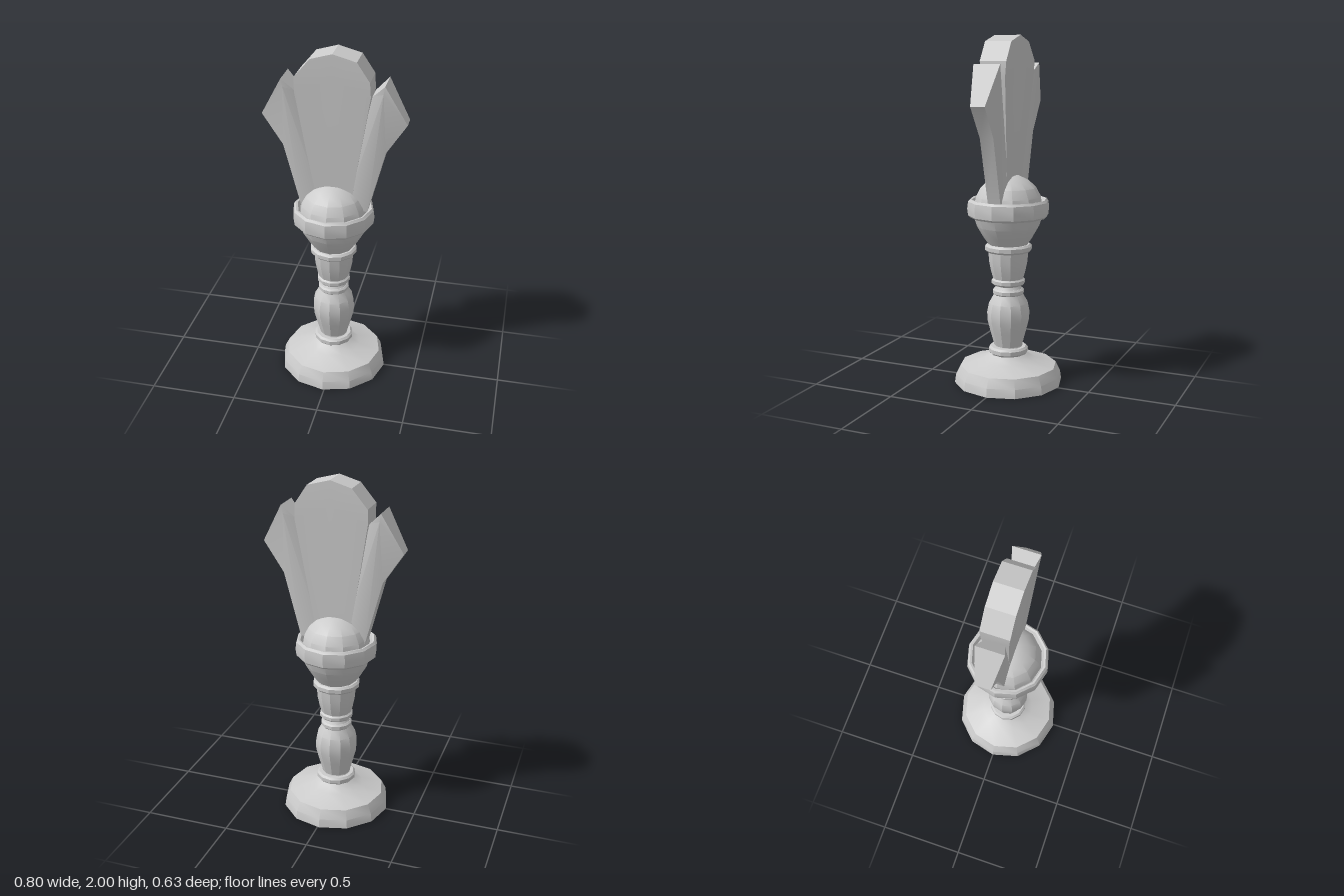
import * as THREE from 'three';
import { toCreasedNormals } from 'three/addons/utils/BufferGeometryUtils.js';

const grey = new THREE.MeshStandardMaterial({ color: 0xcccccc, side: THREE.DoubleSide });
const CREASE = 0.5;

// Twelve-sided turned part from [radius, y] pairs, bottom to top
function turned(name, profile) {
  const geo = new THREE.LatheGeometry(profile.map(([r, y]) => new THREE.Vector2(r, y)), 12);
  const mesh = new THREE.Mesh(toCreasedNormals(geo, CREASE), grey);
  mesh.name = name;
  mesh.position.x = -0.01;
  return mesh;
}

// Flat plume: front and back fans around a hub, joined by edge walls.
// Each point is [x, y, half thickness]; the outline runs counter-clockwise.
function plume(name, hub, outline, mirror = 1) {
  const pos = [];
  const put = ([x, y, z], side) => pos.push(x * mirror, y, z * side);
  const tri = (...corners) => {
    if (mirror < 0) corners.reverse();
    corners.forEach(([p, side]) => put(p, side));
  };
  outline.forEach((a, i) => {
    const b = outline[(i + 1) % outline.length];
    tri([hub, 1], [a, 1], [b, 1]);
    tri([hub, -1], [b, -1], [a, -1]);
    tri([a, 1], [a, -1], [b, -1]);
    tri([a, 1], [b, -1], [b, 1]);
  });
  const geo = new THREE.BufferGeometry();
  geo.setAttribute('position', new THREE.Float32BufferAttribute(pos, 3));
  const mesh = new THREE.Mesh(toCreasedNormals(geo, CREASE), grey);
  mesh.name = name;
  return mesh;
}

// Rounded moulding ring profile
const ring = (r, y0, y1, inner) => {
  const b = (y1 - y0) * 0.25;
  return [[inner, y0], [r - b, y0], [r, y0 + b], [r, y1 - b], [r - b, y1], [inner, y1]];
};

export function createModel() {
  const group = new THREE.Group();
  group.name = 'plumedFinial';

  // Hollow foot, open underneath
  group.add(turned('foot', [
    [0.315, 0], [0.308, 0.05], [0.282, 0.103], [0.16, 0.137], [0.12, 0.16], [0.1, 0.175],
  ]));

  // Baluster stem and its mouldings
  group.add(turned('lowerStem', [
    [0.09, 0.2], [0.082, 0.22], [0.105, 0.305], [0.122, 0.37], [0.124, 0.42],
    [0.113, 0.475], [0.085, 0.525],
  ]));
  group.add(turned('neck', [[0.085, 0.55], [0.07, 0.575], [0.085, 0.6]]));
  group.add(turned('upperStem', [[0.085, 0.61], [0.1, 0.66], [0.112, 0.72], [0.116, 0.79]]));
  [
    ['lowerRing', 0.115, 0.17, 0.215],
    ['middleRing', 0.091, 0.522, 0.56],
    ['neckRing', 0.097, 0.582, 0.62],
    ['upperRing', 0.136, 0.778, 0.822],
  ].forEach(([name, r, y0, y1]) => group.add(turned(name, ring(r, y0, y1, 0.07))));

  // Cup, collar and dome
  group.add(turned('cup', [[0.11, 0.815], [0.142, 0.86], [0.18, 0.925], [0.2, 0.985]]));
  group.add(turned('collar', [
    [0.18, 0.978], [0.218, 0.978], [0.231, 0.99], [0.236, 1.03], [0.231, 1.07],
    [0.22, 1.083], [0.208, 1.08], [0.195, 1.05],
  ]));
  const dome = [];
  for (let i = 0; i <= 5; i++) {
    const a = (i / 5) * Math.PI / 2;
    dome.push([i === 5 ? 0 : 0.196 * Math.cos(a), 1.04 + 0.185 * Math.sin(a)]);
  }
  group.add(turned('dome', dome));

  // Centre plume with a scalloped top
  group.add(plume('centrePlume', [0, 1.86, 0.078], [
    [-0.09, 1.08, 0.036], [0.09, 1.08, 0.036], [0.142, 1.4, 0.053], [0.205, 1.775, 0.073],
    [0.2, 1.86, 0.078], [0.13, 1.965, 0.078], [0, 2, 0.078], [-0.12, 1.965, 0.078],
    [-0.208, 1.86, 0.078], [-0.208, 1.775, 0.073], [-0.147, 1.4, 0.053],
  ]));

  // Pointed side plumes, ridged below the tip
  const side = [
    [0.06, 1.08, 0.035], [0.19, 1.08, 0.038], [0.286, 1.45, 0.04], [0.4, 1.625, 0.042],
    [0.28, 1.845, 0.078], [0.21, 1.775, 0.052],
  ];
  group.add(plume('leftPlume', [0.272, 1.8, 0.075], side));
  group.add(plume('rightPlume', [0.272, 1.8, 0.075], side, -1));

  return group;
}
